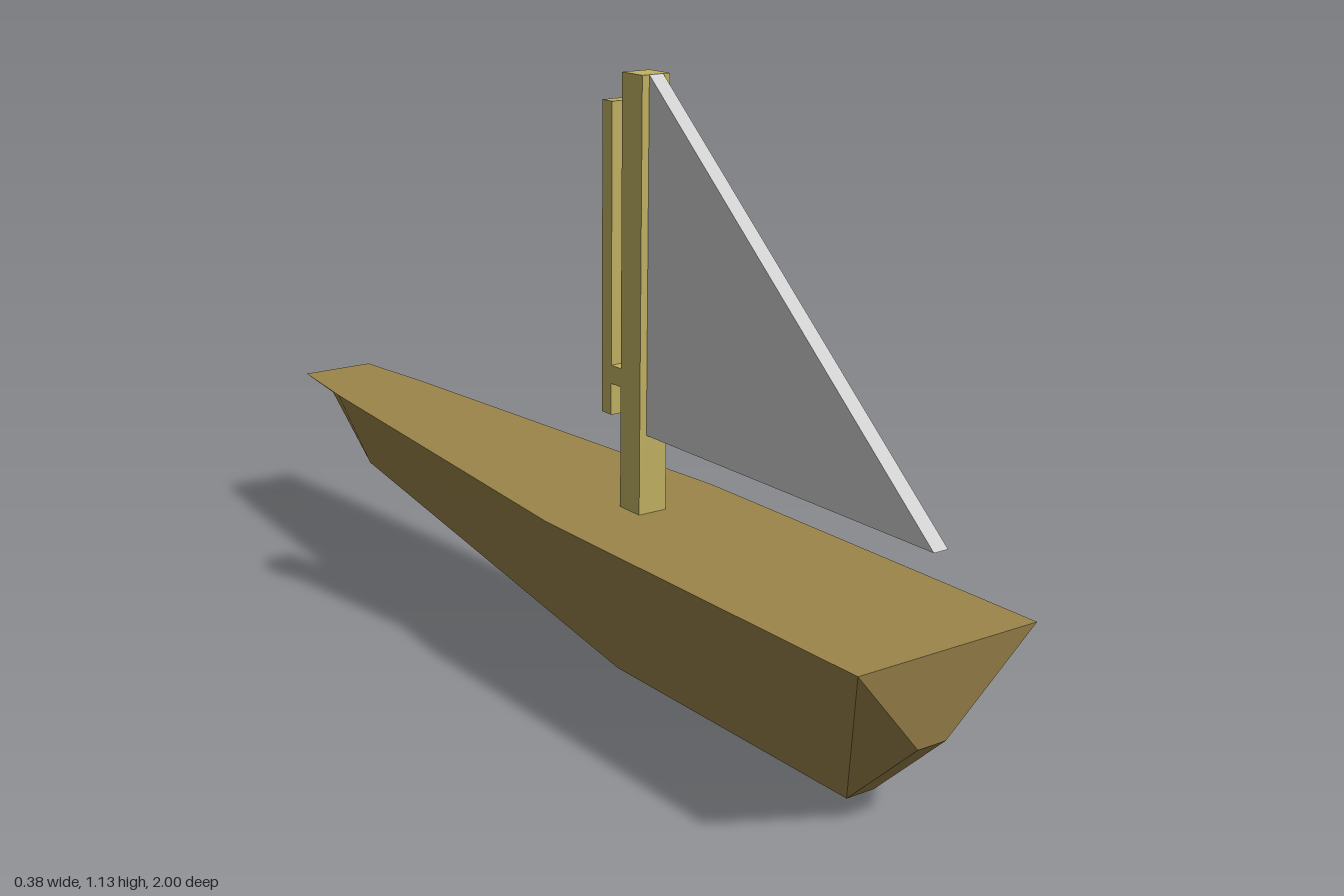
import * as THREE from 'three';

const DECK_Y = 0.325;
const KEEL_HALF = 0.03;

function hullGeometry() {
  // Stations from front to back: deck z, deck half width, keel z, keel y
  const stations = [
    [1, 0.19, 0.97, 0.15],
    [0.81, 0.19, 0.81, 0],
    [0.16, 0.19, 0.16, 0],
    [-0.8, 0.105, -0.8, 0.155],
    [-1, 0.08, -0.97, 0.28],
  ];
  const points = [];
  const index = [];
  for (const [dz, w, kz, ky] of stations) {
    points.push(w, DECK_Y, dz, -w, DECK_Y, dz, -KEEL_HALF, ky, kz, KEEL_HALF, ky, kz);
  }
  for (let i = 0; i < stations.length - 1; i++) {
    for (let j = 0; j < 4; j++) {
      const a = i * 4 + j, b = i * 4 + (j + 1) % 4, c = b + 4, d = a + 4;
      // The last side is split the other way so both flanks mirror each other
      if (j === 3) index.push(a, d, b, d, c, b);
      else index.push(a, d, c, a, c, b);
    }
  }
  const e = (stations.length - 1) * 4;
  index.push(0, 1, 2, 0, 2, 3, e, e + 2, e + 1, e, e + 3, e + 2);
  const indexed = new THREE.BufferGeometry();
  indexed.setAttribute('position', new THREE.Float32BufferAttribute(points, 3));
  indexed.setIndex(index);
  const flat = indexed.toNonIndexed();
  flat.computeVertexNormals();
  return flat;
}

function sailGeometry() {
  // Triangle drawn with shape x = -z, then turned to lie along the boat
  const shape = new THREE.Shape([
    new THREE.Vector2(-0.225, 0.475),
    new THREE.Vector2(-0.225, 1.13),
    new THREE.Vector2(-0.97, 0.475),
  ]);
  const geo = new THREE.ExtrudeGeometry(shape, { depth: 0.03, bevelEnabled: false });
  return geo.translate(0, 0, -0.015).rotateY(Math.PI / 2);
}

export function createModel() {
  const model = new THREE.Group();
  model.name = 'sailboat';

  const darkWood = new THREE.MeshStandardMaterial({ color: 0x9c854b, flatShading: true });
  const lightWood = new THREE.MeshStandardMaterial({ color: 0xc1b162, flatShading: true });
  const cloth = new THREE.MeshStandardMaterial({ color: 0xcccccc, flatShading: true });

  const add = (name, geometry, material) => {
    const mesh = new THREE.Mesh(geometry, material);
    mesh.name = name;
    model.add(mesh);
  };
  // Upright timber as wide as the keel
  const timber = (name, y0, y1, z0, z1) => {
    const geo = new THREE.BoxGeometry(KEEL_HALF * 2, y1 - y0, z1 - z0);
    add(name, geo.translate(0, (y0 + y1) / 2, (z0 + z1) / 2), lightWood);
  };

  add('hull', hullGeometry(), darkWood);
  timber('mast', DECK_Y, 1.13, 0.165, 0.225);
  timber('bracket', 0.555, 0.59, 0.135, 0.165);
  timber('rearBoard', 0.495, 1.075, 0.105, 0.135);
  add('sail', sailGeometry(), cloth);

  return model;
}
